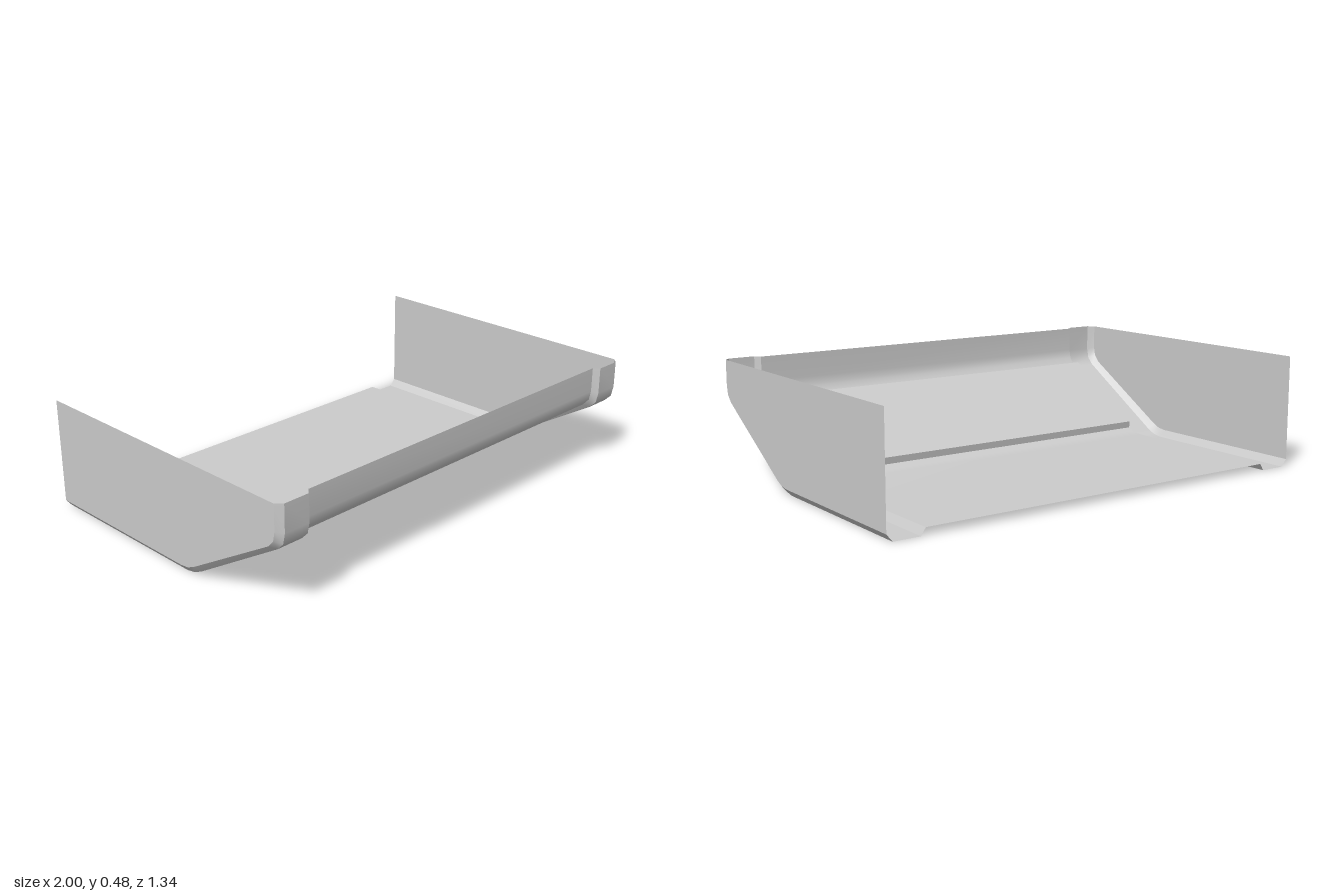
import * as THREE from 'three';

const BACK = -0.67, TOP = 0.48;

// Section outlines as [z, y], running from the back edge, under, and up the front.
const outer = [[BACK, 0], [0.11, 0], [0.155, 0.008], [0.2, 0.03], [0.63, 0.29], [0.66, 0.32], [0.67, 0.365], [0.67, TOP]];
const inset = [[BACK, 0.03], [0.105, 0.03], [0.145, 0.035], [0.18, 0.05], [0.61, 0.303], [0.637, 0.333], [0.645, 0.373], [0.645, TOP]];
const recess = [[0.176, 0.08], [0.575, 0.318]];

const material = new THREE.MeshStandardMaterial({ color: 0xcccccc, side: THREE.DoubleSide });

// Sheet spanning two outlines, each placed at its own x.
function sheet(name, rowA, xA, rowB, xB, flip = false) {
  if (flip) [rowA, xA, rowB, xB] = [rowB, xB, rowA, xA];
  const n = rowA.length, positions = [], index = [];
  for (const [z, y] of rowA) positions.push(xA, y, z);
  for (const [z, y] of rowB) positions.push(xB, y, z);
  for (let i = 0; i < n - 1; i++) {
    index.push(i, n + i, i + 1, i + 1, n + i, n + i + 1);
  }
  const geometry = new THREE.BufferGeometry();
  geometry.setAttribute('position', new THREE.Float32BufferAttribute(positions, 3));
  geometry.setIndex(index);
  geometry.computeVertexNormals();
  const mesh = new THREE.Mesh(geometry, material);
  mesh.name = name;
  return mesh;
}

export function createModel() {
  const model = new THREE.Group();
  model.name = 'openTray';

  // Middle panel: floor, recessed slope between two steps, curved front lip
  const middle = new THREE.Group();
  middle.name = 'middlePanel';
  const bands = {
    floor: inset.slice(0, 4),
    lowerStep: [inset[3], recess[0]],
    recessedSlope: recess,
    upperStep: [recess[1], inset[4]],
    frontLip: inset.slice(4),
  };
  for (const [name, row] of Object.entries(bands)) {
    middle.add(sheet(name, row, -0.84, row, 0.84));
  }
  model.add(middle);

  // Raised runner, chamfers and upright wall on each side
  for (const [side, s] of [['left', 1], ['right', -1]]) {
    const group = new THREE.Group();
    group.name = side + 'Side';
    const flip = s < 0;
    const rim = inset.map(([z]) => [z, TOP]);
    group.add(
      sheet('recessEnd', recess, s * 0.84, [inset[3], inset[4]], s * 0.84, flip),
      sheet('innerChamfer', inset, s * 0.84, outer, s * 0.86, flip),
      sheet('runner', outer, s * 0.86, outer, s * 0.975, flip),
      sheet('outerChamfer', outer, s * 0.975, inset, s, flip),
      sheet('sideWall', inset, s, rim, s, flip),
    );
    model.add(group);
  }
  return model;
}
